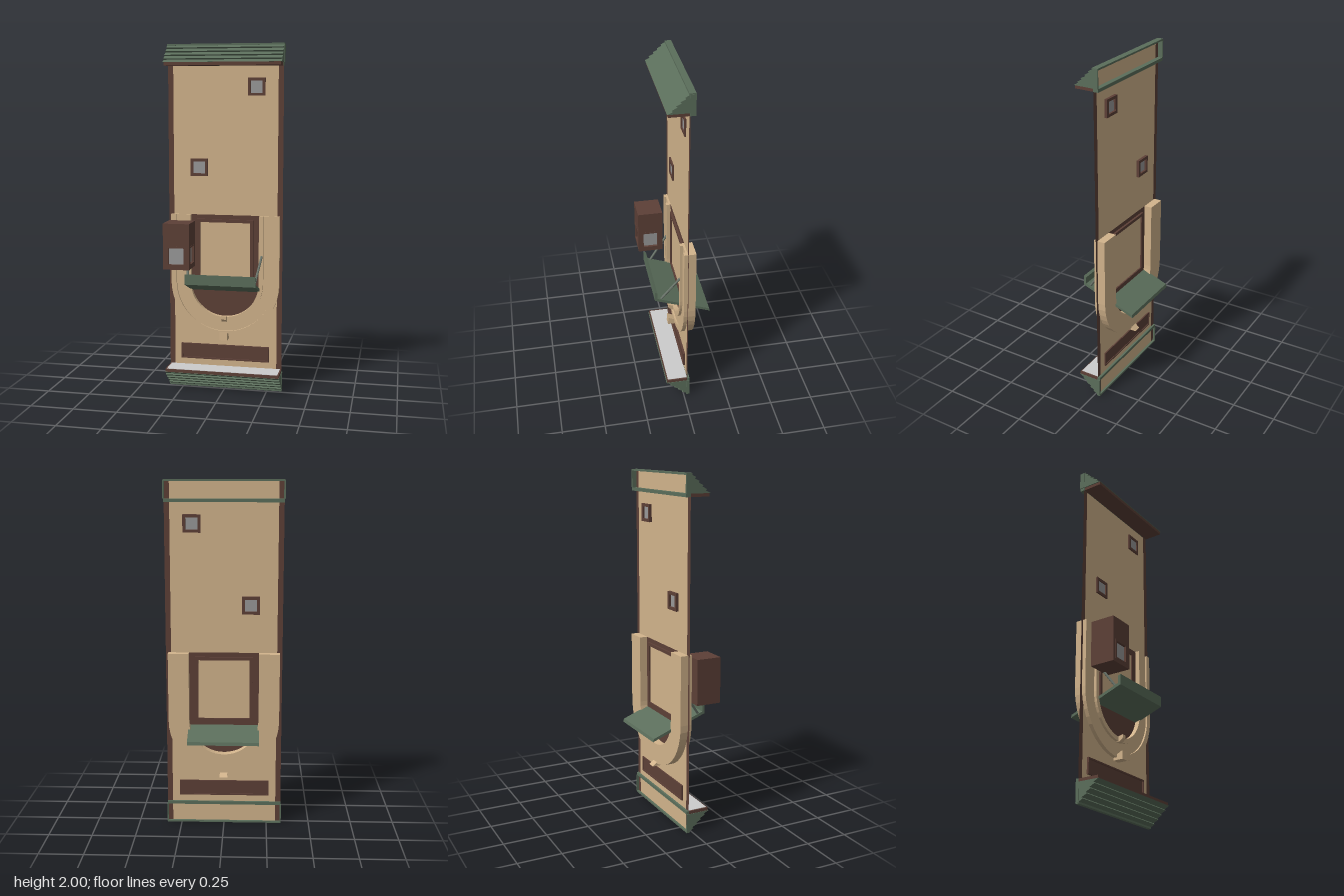
import * as THREE from 'three';

const mat = (color) => new THREE.MeshStandardMaterial({ color, side: THREE.DoubleSide, flatShading: true });
const WALL_Z = -0.022;   // plane of the thin wall
const ARCH_Y = 0.635;    // centre height of the U arch
const TOP_Y = 1.03;      // top of the U arch

export function createModel() {
  const root = new THREE.Group();
  const tan = mat(0xd2b48c), brown = mat(0x5d4037), green = mat(0x5b6e5b), pane = mat(0x999999), grey = mat(0xcccccc);

  const add = (name, geo, material, parent = root) => {
    const m = new THREE.Mesh(geo, material);
    m.name = name;
    parent.add(m);
    return m;
  };
  // Box given by its limits
  const box = (name, material, x0, x1, y0, y1, z0, z1, parent) => {
    const g = new THREE.BoxGeometry(x1 - x0, y1 - y0, z1 - z0);
    g.translate((x0 + x1) / 2, (y0 + y1) / 2, (z0 + z1) / 2);
    return add(name, g, material, parent);
  };
  // Side profile of [z, y] points extruded along x
  const profile = (name, material, pts, x0, x1, parent) => {
    const s = new THREE.Shape(pts.map(([z, y]) => new THREE.Vector2(z, y)));
    const g = new THREE.ExtrudeGeometry(s, { depth: x1 - x0, bevelEnabled: false });
    g.rotateY(-Math.PI / 2).translate(x1, 0, 0);
    return add(name, g, material, parent);
  };
  const rectPath = (P, x0, x1, y0, y1) => {
    const p = new P();
    p.moveTo(x0, y0); p.lineTo(x1, y0); p.lineTo(x1, y1); p.lineTo(x0, y1); p.closePath();
    return p;
  };
  // Rectangular frame with a hole
  const frame = (name, material, x0, x1, y0, y1, t, z0, z1, parent) => {
    const s = rectPath(THREE.Shape, x0, x1, y0, y1);
    s.holes.push(rectPath(THREE.Path, x0 + t, x1 - t, y0 + t, y1 - t));
    const g = new THREE.ExtrudeGeometry(s, { depth: z1 - z0, bevelEnabled: false });
    g.translate(0, 0, z0);
    return add(name, g, material, parent);
  };
  // Filled U outline
  const uPath = (P, r) => {
    const p = new P();
    p.moveTo(-r, TOP_Y); p.lineTo(-r, ARCH_Y);
    p.absarc(0, ARCH_Y, r, Math.PI, Math.PI * 2, false);
    p.lineTo(r, TOP_Y); p.closePath();
    return p;
  };
  // U-shaped band between two radii
  const uBand = (name, ri, ro, z0, z1) => {
    const s = new THREE.Shape();
    s.moveTo(-ro, TOP_Y); s.lineTo(-ro, ARCH_Y);
    s.absarc(0, ARCH_Y, ro, Math.PI, Math.PI * 2, false);
    s.lineTo(ro, TOP_Y); s.lineTo(ri, TOP_Y); s.lineTo(ri, ARCH_Y);
    s.absarc(0, ARCH_Y, ri, Math.PI * 2, Math.PI, true);
    s.lineTo(-ri, TOP_Y); s.closePath();
    const g = new THREE.ExtrudeGeometry(s, { depth: z1 - z0, bevelEnabled: false, curveSegments: 12 });
    g.translate(0, 0, z0);
    add(name, g, tan);
  };

  // Thin wall with U-shaped opening, brown infill and edge strips
  const wallShape = rectPath(THREE.Shape, -0.303, 0.303, 0.005, 1.995);
  wallShape.holes.push(uPath(THREE.Path, 0.2));
  add('wall', new THREE.ShapeGeometry(wallShape).translate(0, 0, WALL_Z), tan);
  add('archInfill', new THREE.ShapeGeometry(uPath(THREE.Shape, 0.2)).translate(0, 0, WALL_Z), brown);
  for (const s of [-1, 1]) {
    const g = new THREE.PlaneGeometry(0.03, 1.99).translate(s * 0.318, 1, WALL_Z);
    add('edgeStrip', g, brown);
  }

  // Shingled eave and base: saw-tooth slope between two [z, y] points
  const shingles = (a, b, rows, inward) => {
    const pts = [];
    for (let i = 0; i < rows; i++) {
      const at = (t) => [a[0] + (b[0] - a[0]) * t, a[1] + (b[1] - a[1]) * t];
      const p = at(i / rows), q = at((i + 1) / rows);
      pts.push(p, [q[0] - 0.007, q[1] + inward * 0.007]);
    }
    return pts;
  };
  const eave = new THREE.Group(); eave.name = 'eave'; root.add(eave);
  profile('eaveShingles', green, [[-0.02, 1.895], ...shingles([0.095, 1.895], [-0.015, 2], 5, -1), [-0.02, 1.993]], -0.335, 0.335, eave);
  box('eaveCap', green, -0.335, 0.335, 1.99, 2, -0.05, -0.015, eave);
  box('eaveTrim', brown, -0.33, 0.33, 1.877, 1.895, -0.02, 0.09, eave);
  box('eaveBackStrip', green, -0.333, 0.333, 1.877, 1.895, -0.05, -0.02, eave);
  const base = new THREE.Group(); base.name = 'base'; root.add(base);
  profile('baseShingles', green, [[-0.02, 0.113], ...shingles([0.105, 0.113], [-0.015, 0], 5, 1), [-0.02, 0.007]], -0.335, 0.335, base);
  box('baseCap', green, -0.335, 0.335, 0, 0.01, -0.035, -0.015, base);
  box('baseTrim', brown, -0.333, 0.333, 0.113, 0.13, -0.02, 0.1, base);
  box('baseLedge', grey, -0.325, 0.325, 0.13, 0.132, -0.02, 0.095, base);
  box('baseBackStrip', green, -0.333, 0.333, 0.113, 0.131, -0.035, -0.02, base);
  for (const s of [-1, 1]) {
    const x = s * 0.333;
    box('eaveEnd', green, x - 0.004, x + 0.004, 1.895, 1.995, -0.05, -0.018, eave);
    box('baseEnd', green, x - 0.004, x + 0.004, 0.005, 0.113, -0.035, -0.018, base);
  }

  // Small square windows
  for (const [x, y] of [[0.18, 1.76], [-0.152, 1.303]]) {
    const w = new THREE.Group(); w.name = 'window'; root.add(w);
    frame('windowFrame', brown, x - 0.05, x + 0.05, y - 0.05, y + 0.05, 0.016, -0.038, -0.013, w);
    box('windowPane', pane, x - 0.036, x + 0.036, y - 0.036, y + 0.036, -0.026, -0.019, w);
  }

  // Long recessed panel near the base
  frame('slotFrame', brown, -0.263, 0.26, 0.17, 0.26, 0.008, -0.03, -0.01);
  box('slotPanel', brown, -0.258, 0.255, 0.175, 0.255, -0.025, -0.019);

  // Framed panel inside the arch
  frame('doorFrame', brown, -0.165, 0.165, 0.625, 1.005, 0.018, -0.034, -0.01);
  box('doorPanel', tan, -0.147, 0.147, 0.643, 0.987, -0.026, -0.018);

  // U arch: raised rims around a shallower middle band
  uBand('archOuterRim', 0.287, 0.318, -0.068, 0);
  uBand('archMiddle', 0.225, 0.287, -0.068, -0.01);
  uBand('archInnerRim', 0.2, 0.225, -0.068, 0.005);

  // Keystones on the arch
  profile('outerKeystone', tan, [[-0.095, 0.303], [0.038, 0.303], [0.035, 0.352], [0, 0.335], [-0.068, 0.325]], -0.023, 0.023);
  profile('innerKeystone', tan, [[-0.02, 0.408], [0.012, 0.408], [0.033, 0.425], [0.033, 0.445], [-0.02, 0.432]], -0.014, 0.014);

  // Sloping shelf through the arch, with front lip and stays
  profile('shelf', green, [[-0.18, 0.525], [0.147, 0.648], [0.147, 0.708], [0.132, 0.7], [0.132, 0.66], [-0.175, 0.543]], -0.203, 0.205);
  for (const s of [-1, 1]) {
    const path = new THREE.LineCurve3(new THREE.Vector3(s * 0.193, 0.65, 0.108), new THREE.Vector3(s * 0.217, 0.8, 0.002));
    add('shelfStay', new THREE.TubeGeometry(path, 1, 0.007, 8), grey.clone()).material.color.set(0x6b756b);
  }

  // Hanging box with recessed openings on the front and inner side
  const cabin = new THREE.Group(); cabin.name = 'hangingBox'; root.add(cabin);
  const [x0, x1, y0, y1, z0, z1] = [-0.318, -0.167, 0.738, 1, 0.035, 0.18];
  box('boxUpper', brown, x0, x1, 0.868, y1, z0, z1, cabin);
  box('boxFloor', brown, x0, x1, y0, 0.76, z0, z1, cabin);
  box('boxBack', brown, x0, x1, 0.76, 0.868, z0, z0 + 0.025, cabin);
  box('boxOuterSide', brown, x0, x0 + 0.025, 0.76, 0.868, z0 + 0.025, z1, cabin);
  box('boxCornerPost', brown, x1 - 0.025, x1, 0.76, 0.868, z1 - 0.025, z1, cabin);
  box('boxPanes', pane, x0 + 0.025, x1 - 0.015, 0.76, 0.868, z0 + 0.025, z1 - 0.015, cabin);
  frame('boxFrontFrame', brown, x0 + 0.022, x1 - 0.022, 0.757, 0.871, 0.01, z1 - 0.014, z1 + 0.001, cabin);
  const side = frame('boxSideFrame', brown, -0.052, 0.052, 0.757, 0.871, 0.01, -0.014, 0.001, cabin);
  side.rotation.y = Math.PI / 2;
  side.position.set(x1, 0, (z0 + z1) / 2);

  return root;
}
